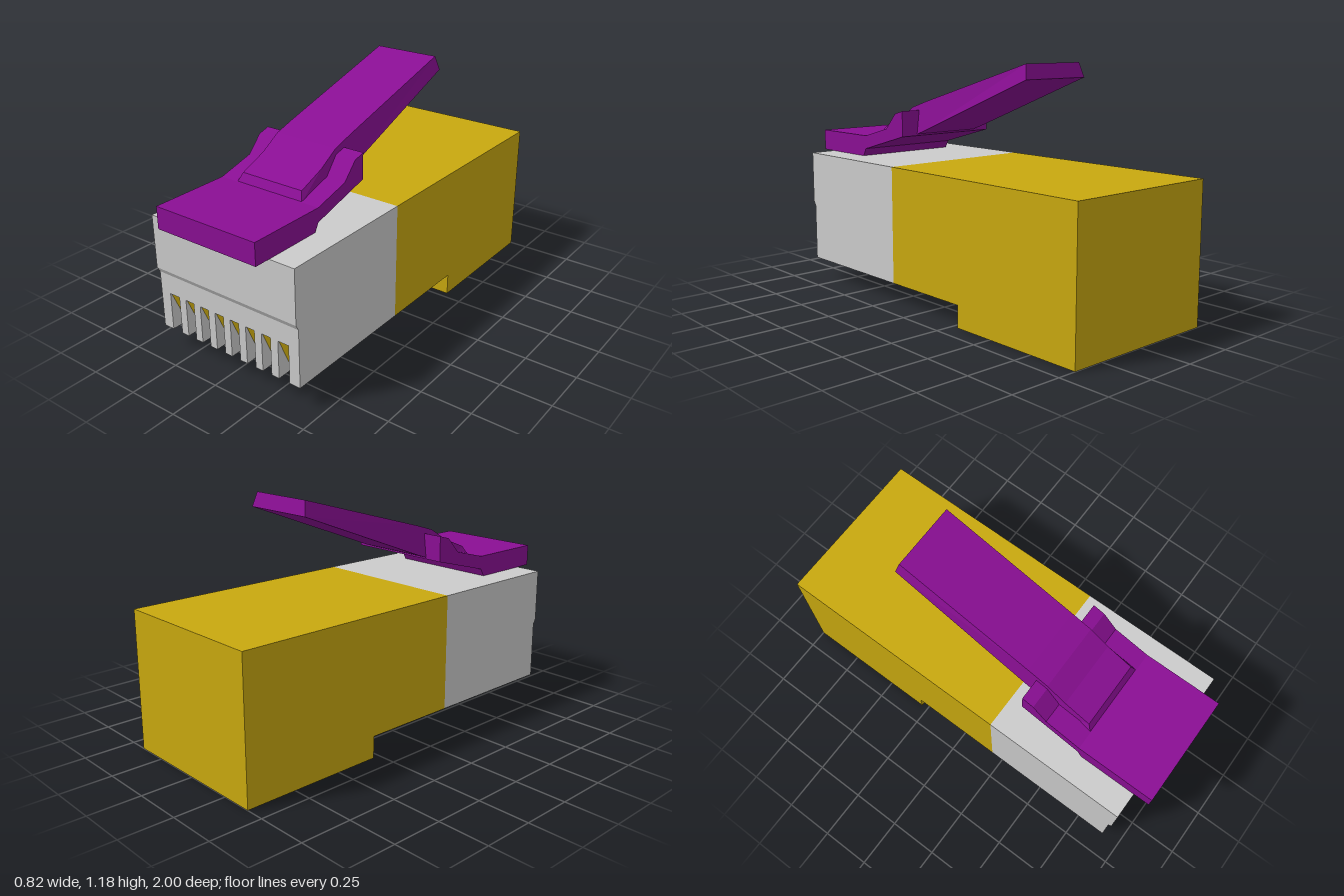
import * as THREE from 'three';

const mat = (color) => new THREE.MeshStandardMaterial({ color, flatShading: true });
const grey = mat(0xcccccc), gold = mat(0xc8a80f), purple = mat(0x8a0f94);
const HALF = 0.408; // half width of the plug

// Extrudes a side profile of [z, y] points across x, centred on x = cx
function sideProfile(name, points, width, material, cx = 0) {
  const shape = new THREE.Shape(points.map(([z, y]) => new THREE.Vector2(-z, y)));
  const geo = new THREE.ExtrudeGeometry(shape, { depth: width, bevelEnabled: false });
  geo.rotateY(Math.PI / 2).translate(cx - width / 2, 0, 0);
  const mesh = new THREE.Mesh(geo, material);
  mesh.name = name;
  return mesh;
}

// Lofts four-cornered sections, given front to back as [topZ, topY, bottomZ, bottomY]
function loftLever(stations, topHalf, bottomHalf) {
  const rings = stations.map(([tz, ty, bz, by]) => [
    [-bottomHalf, by, bz], [bottomHalf, by, bz], [topHalf, ty, tz], [-topHalf, ty, tz]]);
  const pos = [];
  const quad = (a, b, c, d) => [a, b, c, a, c, d].forEach((p) => pos.push(...p));
  for (let s = 0; s < rings.length - 1; s++) {
    const r = rings[s], n = rings[s + 1];
    for (let i = 0; i < 4; i++) {
      const j = (i + 1) % 4;
      quad(r[i], n[i], n[j], r[j]);
    }
  }
  quad(...rings[0]);
  quad(...[...rings[rings.length - 1]].reverse());
  const geo = new THREE.BufferGeometry();
  geo.setAttribute('position', new THREE.Float32BufferAttribute(pos, 3));
  geo.computeVertexNormals();
  return geo;
}

export function createModel() {
  const model = new THREE.Group();
  model.name = 'cablePlug';

  // Rear body with its stepped foot
  model.add(sideProfile('rearBody', [
    [0.2, 0.107], [0.2, 0.682], [-1, 0.682], [-1, 0], [-0.285, 0], [-0.285, 0.107],
  ], HALF * 2, gold));

  // Upper head with a small lip on the front
  const slotTop = 0.295, bottom = 0.107, front = 0.905, slotEnd = 0.49;
  model.add(sideProfile('headUpper', [
    [0.2, slotTop], [front, slotTop], [front, 0.393], [0.92, 0.42], [0.92, 0.682], [0.2, 0.682],
  ], HALF * 2, grey));

  // Lower head: a comb with eight slots open to the front and below
  const slots = [];
  for (let i = 0; i < 8; i++) {
    const outer = i === 0 || i === 7;
    slots.push({ x: outer ? (i ? 0.322 : -0.322) : (i - 3.5) * 0.0905, w: outer ? 0.058 : 0.05 });
  }
  const comb = new THREE.Shape();
  comb.moveTo(-HALF, 0.2);
  comb.lineTo(-HALF, front);
  for (const { x, w } of slots) {
    comb.lineTo(x - w / 2, front);
    comb.lineTo(x - w / 2, slotEnd);
    comb.lineTo(x + w / 2, slotEnd);
    comb.lineTo(x + w / 2, front);
  }
  comb.lineTo(HALF, front);
  comb.lineTo(HALF, 0.2);
  const combGeo = new THREE.ExtrudeGeometry(comb, { depth: slotTop - bottom, bevelEnabled: false });
  combGeo.rotateX(Math.PI / 2).translate(0, slotTop, 0);
  const headComb = new THREE.Mesh(combGeo, grey);
  headComb.name = 'headComb';
  model.add(headComb);

  // Sloping contacts inside the slots
  const contacts = new THREE.Group();
  contacts.name = 'contacts';
  for (const { x, w } of slots) {
    contacts.add(sideProfile('contact', [
      [slotEnd, bottom], [0.84, 0.155], [0.9, slotTop], [slotEnd, slotTop],
    ], w, gold, x));
  }
  model.add(contacts);

  // Latch: wide bent base and a tapered lever
  const latch = new THREE.Group();
  latch.name = 'latch';
  latch.add(sideProfile('latchBase', [
    [1, 0.683], [1, 0.79], [0.605, 0.79], [0.42, 0.84], [0.345, 0.92], [0.285, 0.937],
    [0.285, 0.81], [0.605, 0.722], [0.627, 0.683],
  ], 0.556, purple));
  const lever = new THREE.Mesh(loftLever([
    [0.58, 0.83, 0.605, 0.785],
    [0.445, 0.885, 0.445, 0.77],
    [0.343, 0.948, 0.343, 0.798],
    [0.235, 0.982, 0.235, 0.835],
    [-0.47, 1.184, -0.488, 1.115],
  ], 0.169, 0.187), purple);
  lever.name = 'latchLever';
  latch.add(lever);
  model.add(latch);

  return model;
}
